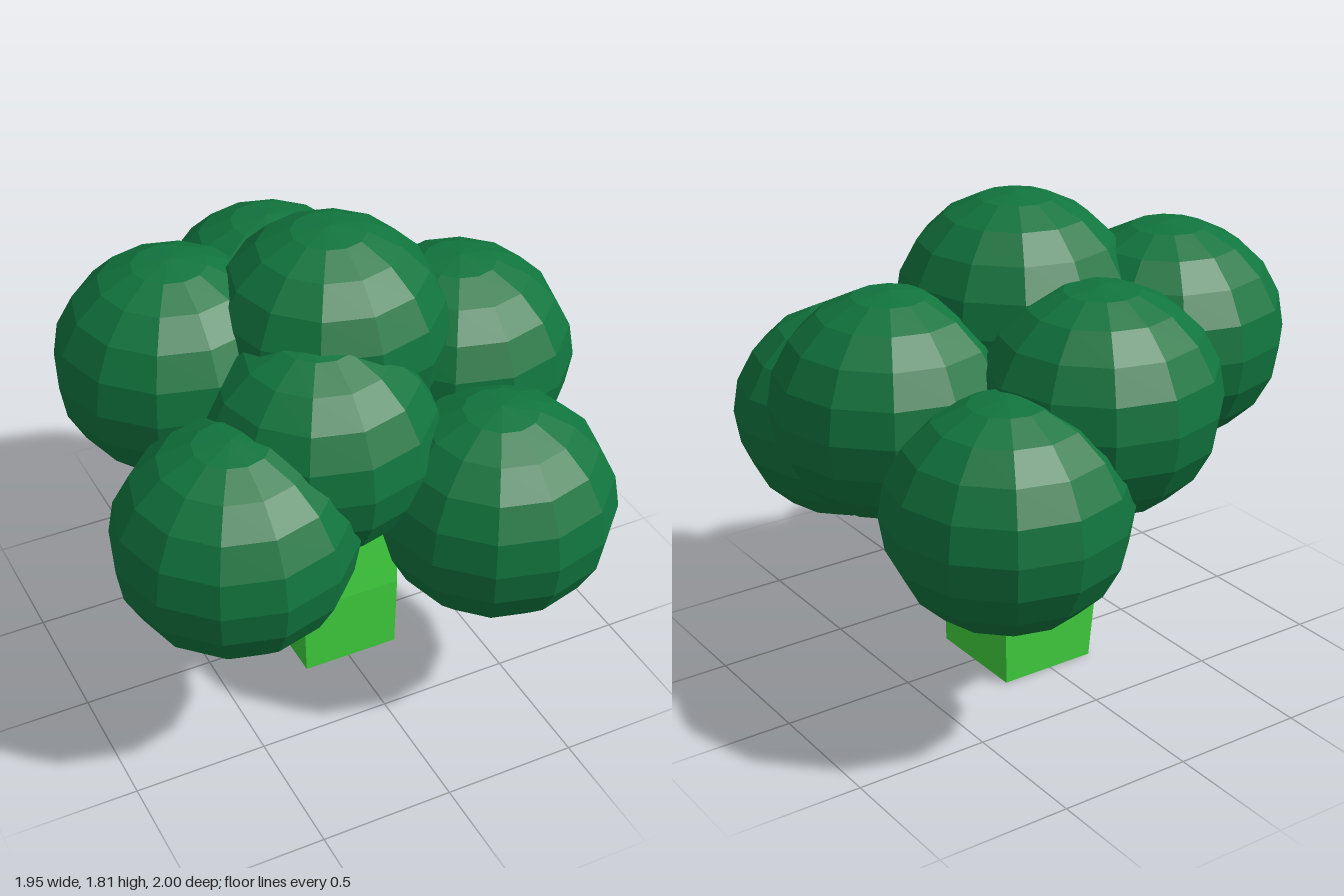
import * as THREE from 'three';

const leafGreen = new THREE.MeshStandardMaterial({ color: 0x11753e, flatShading: true });
leafGreen.name = 'floret dark green';
const stalkGreen = new THREE.MeshStandardMaterial({ color: 0x40d03e, flatShading: true });
stalkGreen.name = 'stalk bright green';

// Floret centres; every floret is the same slightly flattened sphere
const florets = {
  floretTop: [0.01, 1.4, 0],
  floretBackLeft: [0.44, 0.91, -0.57],
  floretBack: [0, 1.19, -0.49],
  floretBackRight: [-0.485, 1.27, -0.24],
  floretLeft: [0.54, 1.14, -0.01],
  floretFrontRight: [-0.55, 0.95, 0.41],
  floretFront: [-0.155, 1.15, 0.255],
  floretFrontLeft: [0.39, 0.89, 0.565],
};

// Four-cornered cross-sections joined into a closed solid
function loft(rings) {
  const pos = [];
  const quad = (a, b, c, d) => pos.push(...a, ...b, ...c, ...a, ...c, ...d);
  for (let i = 0; i < rings.length - 1; i++) {
    for (let j = 0; j < 4; j++) {
      const k = (j + 1) % 4;
      quad(rings[i][j], rings[i][k], rings[i + 1][k], rings[i + 1][j]);
    }
  }
  const [a, b, c, d] = rings[0];
  quad(d, c, b, a);
  quad(...rings[rings.length - 1]);
  const geo = new THREE.BufferGeometry();
  geo.setAttribute('position', new THREE.Float32BufferAttribute(pos, 3));
  geo.computeVertexNormals();
  return geo;
}

// Four-sided stub running from the stalk into a floret
function branch(from, to, radius) {
  const a = new THREE.Vector3(...from);
  const dir = new THREE.Vector3(...to).sub(a);
  const length = dir.length();
  const geo = new THREE.CylinderGeometry(radius * 0.9, radius, length, 4);
  geo.translate(0, length / 2, 0);
  const mesh = new THREE.Mesh(geo, stalkGreen);
  mesh.position.copy(a);
  mesh.quaternion.setFromUnitVectors(new THREE.Vector3(0, 1, 0), dir.normalize());
  return mesh;
}

export function createModel() {
  const model = new THREE.Group();

  // Florets
  const ball = new THREE.SphereGeometry(1, 12, 10);
  ball.scale(0.432, 0.41, 0.432);
  for (const [name, centre] of Object.entries(florets)) {
    const floret = new THREE.Mesh(ball, leafGreen);
    floret.name = name;
    floret.position.set(...centre);
    model.add(floret);
  }

  // Stalk: square foot, slight backward lean, flared crown
  const stalk = new THREE.Mesh(loft([
    [[-0.18, 0, 0.2], [0.2, 0, 0.2], [0.2, 0, -0.21], [-0.18, 0, -0.21]],
    [[-0.19, 0.3, 0.2], [0.205, 0.3, 0.2], [0.21, 0.33, -0.225], [-0.205, 0.32, -0.222]],
    [[-0.19, 0.6, 0.17], [0.21, 0.6, 0.17], [0.225, 0.7, -0.24], [-0.25, 0.66, -0.24]],
    [[-0.28, 0.95, 0.32], [0.36, 0.92, 0.3], [0.38, 1, -0.33], [-0.33, 1, -0.33]],
  ]), stalkGreen);
  stalk.name = 'stalk';
  model.add(stalk);

  // Branches to the low florets
  const branches = {
    branchFrontRight: [[-0.08, 0.68, 0.05], florets.floretFrontRight],
    branchFrontLeft: [[0.08, 0.7, 0.05], florets.floretFrontLeft],
    branchBackLeft: [[0.08, 0.72, -0.08], florets.floretBackLeft],
  };
  for (const [name, [from, to]] of Object.entries(branches)) {
    const stub = branch(from, to, 0.13);
    stub.name = name;
    model.add(stub);
  }

  return model;
}
